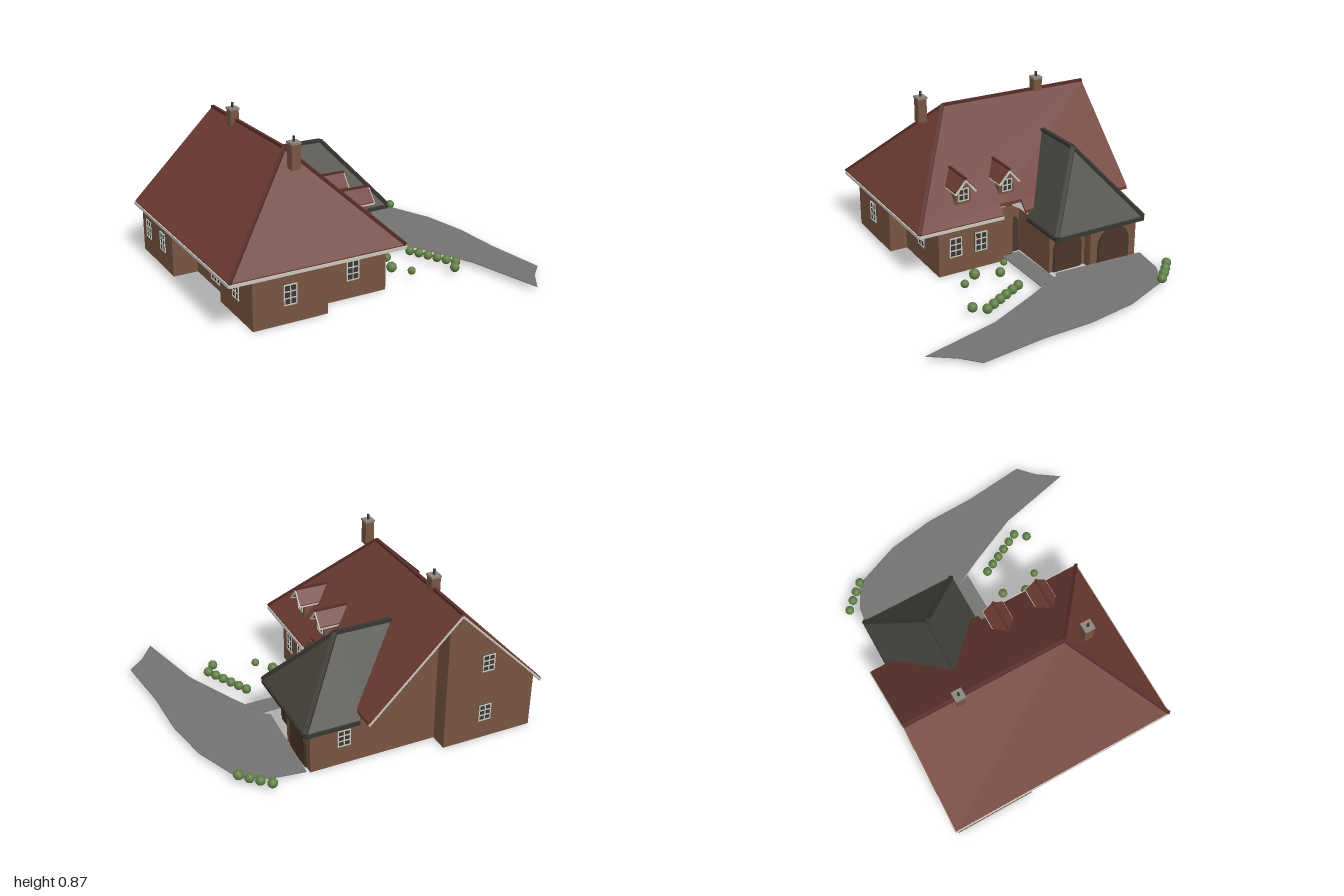
import * as THREE from 'three';

const mat = (name, color, side = THREE.FrontSide) => {
  const m = new THREE.MeshStandardMaterial({ color, side });
  m.name = name;
  return m;
};
const M = {
  brick: mat('brick', 0x765441, THREE.DoubleSide),
  tile: mat('red tile', 0x6d3b33),
  ridge: mat('dark red ridge', 0x572d28),
  slate: mat('slate', 0x46433c),
  dark: mat('dark grey', 0x383632),
  trim: mat('light trim', 0xc9c6bd),
  door: mat('brown wood', 0x4c3426),
  stone: mat('stone', 0x8d847b),
  paving: mat('paving', 0x747270),
  leaf: mat('leaf', 0x5f7d45),
};

function add(parent, name, geo, material, x = 0, y = 0, z = 0) {
  const mesh = new THREE.Mesh(geo, material);
  mesh.name = name;
  mesh.position.set(x, y, z);
  parent.add(mesh);
  return mesh;
}

function geometryFrom(pos) {
  const g = new THREE.BufferGeometry();
  g.setAttribute('position', new THREE.Float32BufferAttribute(pos, 3));
  g.computeVertexNormals();
  return g;
}

// Slab whose top is the given polygon and which reaches straight down by t
function slab(points, t) {
  const p = points.map(a => new THREE.Vector3(...a));
  if (THREE.ShapeUtils.area(p.map(a => new THREE.Vector2(a.x, -a.z))) < 0) p.reverse();
  const flat = p.map(a => new THREE.Vector2(a.x, -a.z));
  const low = p.map(a => new THREE.Vector3(a.x, a.y - t, a.z));
  const pos = [];
  const tri = (...v) => v.forEach(a => pos.push(a.x, a.y, a.z));
  for (let [a, b, c] of THREE.ShapeUtils.triangulateShape(flat, [])) {
    const cross = (flat[b].x - flat[a].x) * (flat[c].y - flat[a].y) - (flat[b].y - flat[a].y) * (flat[c].x - flat[a].x);
    if (cross < 0) [b, c] = [c, b];
    tri(p[a], p[b], p[c]);
    tri(low[a], low[c], low[b]);
  }
  p.forEach((a, i) => {
    const j = (i + 1) % p.length;
    tri(a, low[i], low[j]);
    tri(a, low[j], p[j]);
  });
  return geometryFrom(pos);
}

// Straight bar between two points of the parent's space
function beam(parent, name, a, b, w, h, material) {
  const A = new THREE.Vector3(...a), B = new THREE.Vector3(...b);
  const mesh = add(parent, name, new THREE.BoxGeometry(w, h, A.distanceTo(B)), material);
  mesh.quaternion.setFromRotationMatrix(new THREE.Matrix4().lookAt(B, A, new THREE.Vector3(0, 1, 0)));
  mesh.position.copy(A).add(B).multiplyScalar(0.5);
}

// Window facing +z before turning by ry: dark plate with light bars outside
function paned(parent, name, [x, y, z], ry, w, h, cols = 2, rows = 3) {
  const g = new THREE.Group();
  g.name = name;
  g.position.set(x, y, z);
  g.rotation.y = ry;
  add(g, 'glass', new THREE.BoxGeometry(w, h, 0.008), M.dark);
  const bar = 0.0055;
  for (let i = 0; i <= cols; i++)
    add(g, 'uprightBar', new THREE.BoxGeometry(bar, h, 0.006), M.trim, (i / cols - 0.5) * (w - bar), 0, 0.005);
  for (let j = 0; j <= rows; j++)
    add(g, 'crossBar', new THREE.BoxGeometry(w, bar, 0.006), M.trim, 0, (j / rows - 0.5) * (h - bar), 0.0045);
  parent.add(g);
}

// Round-topped door plate
function archDoor(parent, name, [x, y, z], ry, w, h) {
  const arch = (r, top) => {
    const s = new THREE.Shape();
    s.moveTo(-r, 0);
    s.lineTo(r, 0);
    s.lineTo(r, top - r);
    s.absarc(0, top - r, r, 0, Math.PI, false);
    return s;
  };
  const g = new THREE.Group();
  g.name = name;
  g.position.set(x, y, z);
  g.rotation.y = ry;
  add(g, 'archSurround', new THREE.ExtrudeGeometry(arch(w / 2, h), { depth: 0.005, bevelEnabled: false }), M.dark);
  add(g, 'doorLeaf', new THREE.ExtrudeGeometry(arch(w / 2 - 0.008, h - 0.008), { depth: 0.008, bevelEnabled: false }), M.door);
  parent.add(g);
}

// Main roof dimensions
const L = -0.78, R = 0.503, F = 0.812, B = -0.165, RZ = 0.322, HX = 0.118, EY = 0.292, TOP = 0.775;
const roofY = (x, z) => {
  const k = (TOP - EY) / (F - RZ);
  return Math.min(TOP - k * Math.abs(z - RZ), EY + (R - x) * (TOP - EY) / (R - HX));
};

function buildWalls(house) {
  // Footprint corners, with a wall height where the main roof does not set it
  const plan = [[-0.76, 0.78], [-0.313, 0.78], [-0.313, 0.64], [0.09, 0.64], [0.09, 0.684], [0.477, 0.684],
    [0.477, 0.272], [0.377, 0.272], [0.377, -0.126], [-0.066, -0.126], [-0.066, -0.05, 0.3], [-0.15, -0.05, 0.25],
    [-0.15, -0.364, 0.25], [-0.37, -0.364, 0.25], [-0.37, -0.42, 0.25], [-0.66, -0.42, 0.25],
    [-0.66, -0.165, 0.26], [-0.66, 0.27], [-0.76, 0.27], [-0.76, RZ]];
  const pos = [];
  plan.forEach(([x, z, h = roofY(x, z) - 0.015], i) => {
    const [x2, z2, h2 = roofY(x2, z2) - 0.015] = plan[(i + 1) % plan.length];
    pos.push(x, 0, z, x2, 0, z2, x2, h2, z2, x, 0, z, x2, h2, z2, x, h, z);
  });
  add(house, 'walls', geometryFrom(pos), M.brick);

  // Lining under the front roof slope
  const lining = pts => slab(pts.map(([x, z]) => [x, roofY(x, z) - 0.022, z]), 0.004);
  add(house, 'leftRoofLining', lining([[-0.75, 0.77], [-0.313, 0.77], [-0.313, RZ], [-0.75, RZ]]), M.trim);
  add(house, 'rightRoofLining', lining([[-0.313, 0.64], [0.365, 0.64], [HX, RZ], [-0.313, RZ]]), M.brick);

  // Windows and doors of all sides
  const H = Math.PI / 2, y = 0.155;
  for (const [x, z] of [[-0.656, 0.78], [-0.445, 0.78], [-0.218, 0.64], [0.293, 0.684]])
    paned(house, 'frontWindow', [x, y, z], 0, 0.072, 0.105);
  paned(house, 'terraceDoor', [-0.023, 0.12, 0.64], 0, 0.18, 0.16, 5, 3);
  for (const [x, z] of [[0.477, 0.483], [0.377, 0.074]])
    paned(house, 'rightWindow', [x, y, z], H, 0.072, 0.11);
  for (const x of [0.28, 0.13]) paned(house, 'backWindow', [x, y, -0.126], Math.PI, 0.072, 0.11);
  for (const [x, wy, z] of [[-0.76, y, 0.5], [-0.76, 0.45, 0.5], [-0.66, y, -0.24]])
    paned(house, 'leftWindow', [x, wy, z], -H, 0.07, 0.095);
  archDoor(house, 'entranceDoor', [-0.108, 0, -0.05], Math.PI, 0.074, 0.21);
  archDoor(house, 'garageDoor', [-0.26, 0, -0.364], Math.PI, 0.175, 0.215);
  archDoor(house, 'garageDoor', [-0.515, 0, -0.42], Math.PI, 0.2, 0.215);
}

function buildMainRoof(house) {
  const r0 = [L, TOP, RZ], r1 = [HX, TOP, RZ];
  const FL = [L, EY, F], FR = [R, EY, F], BR = [R, EY, B], BL = [L, EY, B];
  const nz = -0.12, ny = roofY(0, nz);
  add(house, 'frontRoof', slab([FL, FR, r1, r0], 0.018), M.tile);
  add(house, 'hipRoof', slab([FR, BR, r1], 0.018), M.tile);
  // Back slope, notched above the entrance
  add(house, 'backRoof', slab([BR, [0.01, EY, B], [0.01, ny, nz], [-0.12, ny, nz], [-0.12, EY, B], BL, r0, r1], 0.018), M.tile);
  for (const [a, b] of [[r0, r1], [r1, FR], [r1, BR]]) beam(house, 'ridgeCap', a, b, 0.018, 0.014, M.ridge);

  // Gutters and verge boards
  const down = p => [p[0], EY - 0.014, p[2]];
  for (const [a, b] of [[FL, FR], [FR, BR], [BR, [0.01, EY, B]]]) beam(house, 'gutter', down(a), down(b), 0.012, 0.016, M.trim);
  for (const e of [FL, BL]) beam(house, 'vergeBoard', [L, e[1] - 0.014, e[2]], [L, TOP - 0.014, RZ], 0.008, 0.01, M.trim);
}

function buildGarageRoof(house) {
  const l = -0.681, r = -0.135, z = -0.455, e = 0.248, c = -0.407, top = 0.598;
  const hip = [c, top, -0.17], end = [c, top, 0.139];
  const fl = [l, e, z], fr = [r, e, z];
  add(house, 'garageLeftRoof', slab([fl, hip, end, [l, e, B]], 0.018), M.slate);
  add(house, 'garageRightRoof', slab([fr, hip, end, [r, e, B]], 0.018), M.slate);
  add(house, 'garageHipRoof', slab([fl, fr, hip], 0.018), M.slate);
  for (const [a, b] of [[hip, end], [hip, fl], [hip, fr]]) beam(house, 'garageRidgeCap', a, b, 0.022, 0.018, M.dark);
  const low = (x, zz) => [x, e - 0.014, zz];
  for (const [a, b] of [[low(l, z), low(r, z)], [low(l, z), low(l, B)], [low(r, z), low(r, B)]])
    beam(house, 'garageEave', a, b, 0.014, 0.018, M.dark);
}

// Gabled dormer on the back slope
function buildDormer(house, x) {
  const g = new THREE.Group();
  g.name = 'dormer';
  g.position.x = x;
  const w = 0.045, zf = -0.085, top = 0.525, eave = 0.455;
  const s = new THREE.Shape([[-w, 0.36], [w, 0.36], [w, eave + 0.005], [0, top - 0.012], [-w, eave + 0.005]].map(p => new THREE.Vector2(...p)));
  add(g, 'dormerBody', new THREE.ExtrudeGeometry(s, { depth: 0.12, bevelEnabled: false }), M.brick, 0, 0, zf);
  for (const k of [-1, 1]) {
    add(g, 'dormerRoof', slab([[0, top, 0.07], [0, top, -0.115], [k * 0.06, eave, -0.115], [k * 0.06, eave, 0]], 0.012), M.tile);
    beam(g, 'dormerTrim', [0, top - 0.012, -0.117], [k * 0.06, eave - 0.012, -0.117], 0.008, 0.01, M.trim);
    beam(g, 'dormerGutter', [k * 0.06, eave - 0.01, -0.115], [k * 0.06, eave - 0.01, 0], 0.006, 0.008, M.trim);
  }
  beam(g, 'dormerRidge', [0, top, 0.07], [0, top, -0.117], 0.012, 0.01, M.ridge);
  paned(g, 'dormerWindow', [0, 0.425, zf], Math.PI, 0.06, 0.07, 2, 2);
  house.add(g);
}

function buildChimney(house, x) {
  const g = new THREE.Group();
  g.name = 'chimney';
  g.position.set(x, 0, 0.332);
  add(g, 'chimneyStack', new THREE.BoxGeometry(0.05, 0.13, 0.05), M.brick, 0, 0.765, 0);
  add(g, 'chimneyCap', new THREE.BoxGeometry(0.056, 0.012, 0.056), M.stone, 0, 0.836, 0);
  add(g, 'chimneyPot', new THREE.CylinderGeometry(0.007, 0.007, 0.03, 10), M.dark, 0, 0.855, 0);
  house.add(g);
}

export function createModel() {
  const model = new THREE.Group();
  model.name = 'house with garden';
  const house = new THREE.Group();
  house.name = 'house';
  house.rotation.y = -0.324;
  model.add(house);
  buildWalls(house);
  buildMainRoof(house);
  buildGarageRoof(house);
  [-0.05, 0.21].forEach(x => buildDormer(house, x));
  [-0.478, 0.243].forEach(x => buildChimney(house, x));

  // Driveway and path
  const ground = pts => slab(pts.map(([x, z]) => [x, 0.028, z]), 0.004);
  add(model, 'driveway', ground([[-0.5, -0.64], [-0.42, -0.8], [-0.31, -0.91], [-0.02, -0.93], [0.25, -0.89], [0.52, -0.81],
    [0.86, -0.74], [0.91, -0.63], [1, -0.51], [0.57, -0.545], [0.27, -0.51], [0.01, -0.47], [-0.01, -0.45]]), M.paving);
  add(model, 'path', ground([[0.03, -0.475], [0.15, -0.485], [0.03, -0.11], [-0.07, -0.145]]), M.paving);

  // Bushes: x, z, radius
  const bushes = [[-0.47, -0.83], [-0.415, -0.86], [-0.365, -0.885], [-0.31, -0.91], [0.56, -0.39], [0.2, -0.25],
    [0.105, -0.19, 0.019], [0.305, -0.165, 0.029], [0.415, -0.2, 0.022]];
  for (let i = 0; i < 6; i++) bushes.push([0.24 + i * 0.056, -0.408 - i * 0.009]);
  for (const [x, z, r = 0.026] of bushes) add(model, 'bush', new THREE.SphereGeometry(r, 12, 8), M.leaf, x, 0.045, z);
  return model;
}
